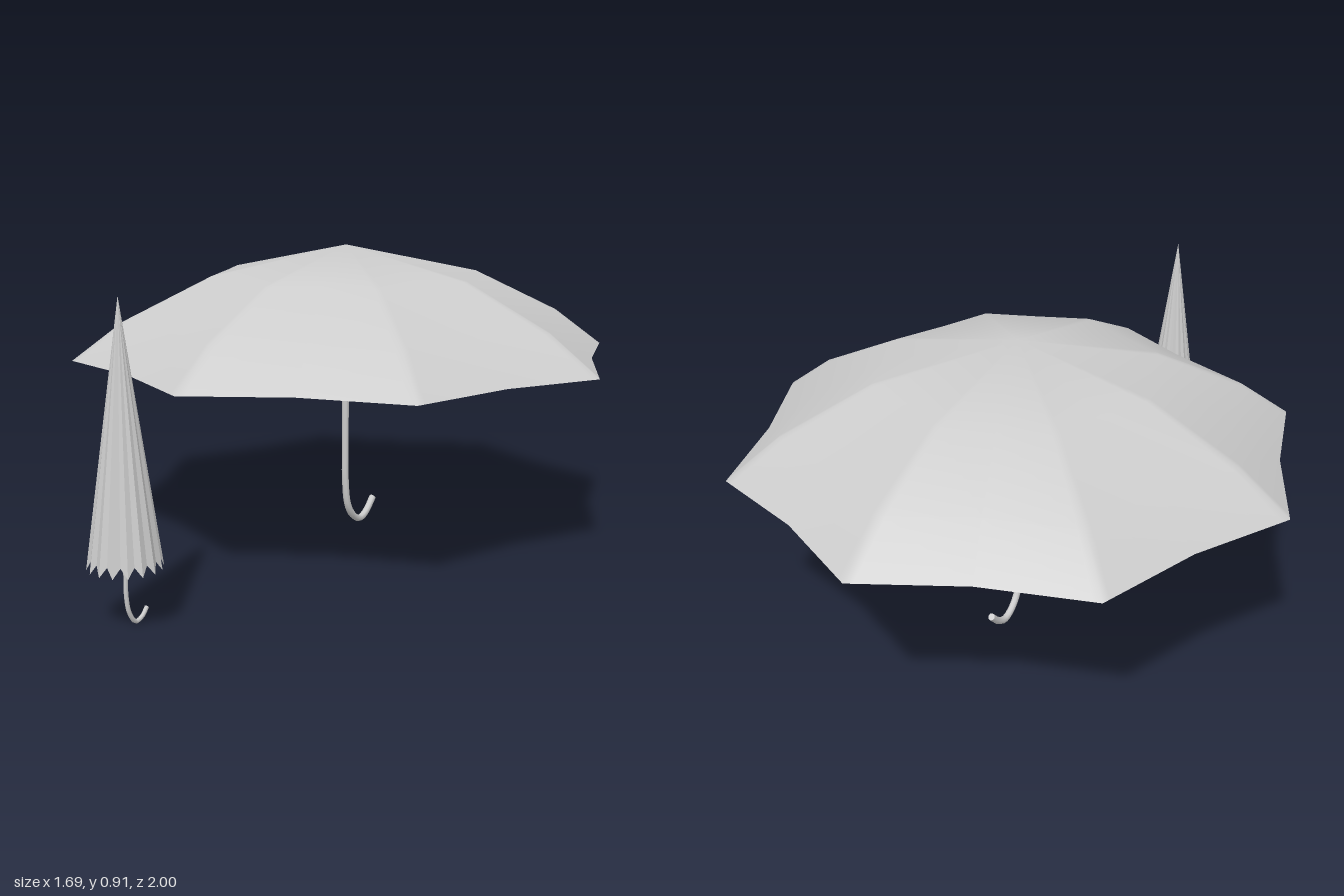
import * as THREE from 'three';

const cloth = new THREE.MeshStandardMaterial({ color: 0xcccccc, side: THREE.DoubleSide });
const pleated = new THREE.MeshStandardMaterial({ color: 0xcccccc, side: THREE.DoubleSide, flatShading: true });
const solid = new THREE.MeshStandardMaterial({ color: 0xcccccc });

// Cloth surface from an apex and rings of points (innermost first)
function clothGeometry(apexY, rings) {
  const n = rings[0].length;
  const points = [new THREE.Vector3(0, apexY, 0), ...rings.flat()];
  const index = [];
  for (let j = 0; j < n; j++) {
    const k = (j + 1) % n;
    index.push(0, 1 + k, 1 + j);
    for (let i = 0; i + 1 < rings.length; i++) {
      const a = 1 + i * n, b = a + n;
      index.push(a + j, a + k, b + j, a + k, b + k, b + j);
    }
  }
  const geo = new THREE.BufferGeometry().setFromPoints(points);
  geo.setIndex(index);
  geo.computeVertexNormals();
  return geo;
}

const polar = (r, y, angle) => new THREE.Vector3(r * Math.cos(angle), y, r * Math.sin(angle));

// Ring alternating between ribs and valleys, with extra points hugging each rib
function ribbedRing(ribs, ribR, ribY, valleyR, valleyY, steps) {
  const ring = [], half = Math.PI / ribs;
  for (let i = 0; i < ribs; i++) {
    const a = i * 2 * half;
    const rib = polar(ribR, ribY, a), valley = polar(valleyR, valleyY, a + half);
    const next = polar(ribR, ribY, a + 2 * half);
    for (const t of steps) ring.push(rib.clone().lerp(valley, t));
    ring.push(valley);
    for (const t of steps.slice(1).reverse()) ring.push(next.clone().lerp(valley, t));
  }
  return ring;
}

// Shaft and crook handle swept along [z, y] points, with closed ends
function handle(name, path, radius) {
  const group = new THREE.Group();
  group.name = name;
  const curve = new THREE.CatmullRomCurve3(path.map(([z, y]) => new THREE.Vector3(0, y, z)));
  group.add(new THREE.Mesh(new THREE.TubeGeometry(curve, 64, radius, 8), solid));
  for (const t of [0, 1]) {
    const cap = new THREE.Mesh(new THREE.CircleGeometry(radius, 8), solid);
    const p = curve.getPoint(t), dir = curve.getTangent(t).multiplyScalar(t ? 1 : -1);
    cap.position.copy(p);
    cap.lookAt(p.clone().add(dir));
    group.add(cap);
  }
  group.children.forEach((m, i) => { m.name = i ? 'handleEnd' : 'shaftAndCrook'; });
  return group;
}

function umbrella(name, z, canopyGeo, material, path, radius) {
  const group = new THREE.Group();
  group.name = name;
  const canopy = new THREE.Mesh(canopyGeo, material);
  canopy.name = 'canopy';
  group.add(canopy, handle('handle', path, radius));
  group.position.z = z;
  return group;
}

export function createModel() {
  const model = new THREE.Group();
  model.name = 'umbrellas';

  // Open umbrella: eight ribs, three rings
  const profile = [[0.42, 0.826], [0.69, 0.695], [0.845, 0.58]];
  const openRings = profile.map(([r, y]) => ribbedRing(8, r, y, r * 0.896, y + 0.004, [0, 0.08]));
  const openPath = [[0, 0.905], [0, 0.5], [0, 0.25], [-0.001, 0.17], [-0.016, 0.08],
    [-0.05, 0.035], [-0.09, 0.017], [-0.127, 0.03], [-0.17, 0.07]];
  model.add(umbrella('openUmbrella', -0.155, clothGeometry(0.915, openRings), cloth, openPath, 0.011));

  // Closed umbrella: sixteen pleats with a zigzag hem
  const closedRings = [ribbedRing(16, 0.1, 0.165, 0.09, 0.192, [0])];
  const closedPath = [[0, 0.8], [0, 0.4], [0, 0.15], [0, 0.09], [-0.01, 0.04],
    [-0.035, 0.008], [-0.062, 0.016], [-0.08, 0.036]];
  model.add(umbrella('closedUmbrella', 0.9, clothGeometry(0.87, closedRings), pleated, closedPath, 0.006));

  return model;
}
